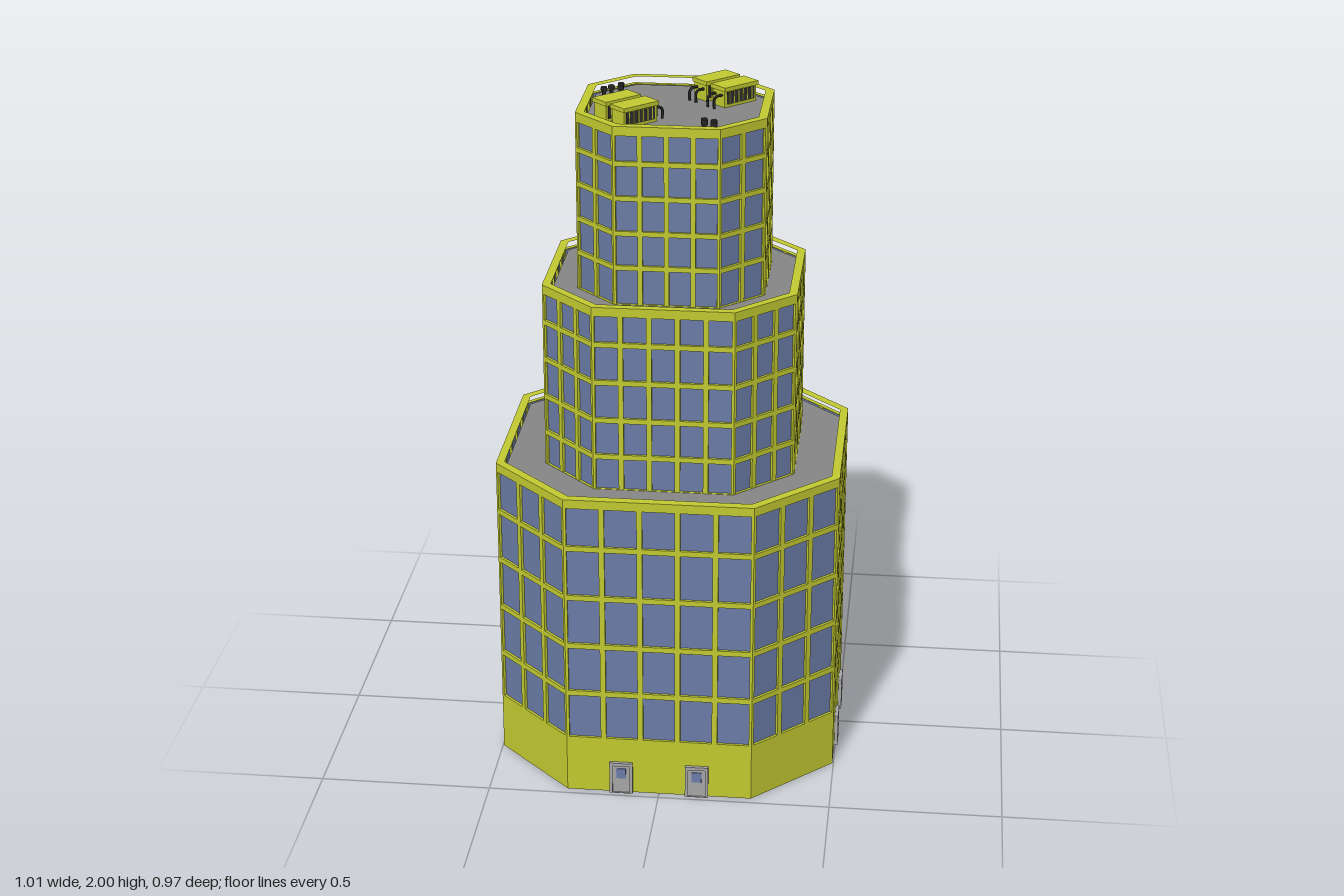
import * as THREE from 'three';

const mat = (color, side = THREE.FrontSide) => new THREE.MeshStandardMaterial({ color, side, flatShading: true });
const yellow = mat(0xc2ca30);
const glass = mat(0x6a7ba6, THREE.DoubleSide);
const deckGrey = mat(0x868686, THREE.DoubleSide);
const doorGrey = mat(0xa6a6a8);
const dark = mat(0x303030);

function add(parent, name, geometry, material, x = 0, y = 0, z = 0) {
  const mesh = new THREE.Mesh(geometry, material);
  mesh.name = name;
  mesh.position.set(x, y, z);
  parent.add(mesh);
  return mesh;
}

// Corners of an octagon with half sizes X, Z and corner cuts starting at cx, cz
const octagon = (X, Z, cx, cz) => [
  [-cx, Z], [cx, Z], [X, cz], [X, -cz], [cx, -Z], [-cx, -Z], [-X, -cz], [-X, cz],
].map(([x, z]) => new THREE.Vector2(x, z));

const rect = (Type, x0, y0, x1, y1) => {
  const p = new Type();
  p.moveTo(x0, y0);
  p.lineTo(x1, y0);
  p.lineTo(x1, y1);
  p.lineTo(x0, y1);
  p.closePath();
  return p;
};

const extrude = (shape, depth) => new THREE.ExtrudeGeometry(shape, { depth, bevelEnabled: false });

// Door with a raised frame, a recessed leaf and a small pane; z = 0 is the wall face
function makeDoor(x) {
  const door = new THREE.Group();
  door.name = 'door';
  const frame = rect(THREE.Shape, -0.034, 0, 0.034, 0.1);
  frame.holes.push(rect(THREE.Path, -0.025, 0.001, 0.025, 0.09));
  add(door, 'doorFrame', extrude(frame, 0.026), doorGrey, 0, 0, -0.016);
  add(door, 'doorLeaf', new THREE.BoxGeometry(0.052, 0.092, 0.02), doorGrey, 0, 0.046, -0.006);
  add(door, 'doorPane', new THREE.BoxGeometry(0.028, 0.032, 0.003), glass, 0, 0.064, 0.005);
  door.position.x = x;
  return door;
}

// One wall: frame pierced by a grid of windows, with glass set back inside it
function makeWall(width, bottom, lines, cols, bar) {
  const wall = new THREE.Group();
  wall.name = 'wall';
  const top = lines[lines.length - 1], h = bar / 2, pitch = width / cols;
  const shape = rect(THREE.Shape, -width / 2, bottom, width / 2, top);
  for (let r = 0; r < lines.length - 1; r++) {
    for (let c = 0; c < cols; c++) {
      const x = -width / 2 + c * pitch;
      const y0 = lines[r] + (r ? h : 0.002), y1 = lines[r + 1] - (r < lines.length - 2 ? h : 0.002);
      shape.holes.push(rect(THREE.Path, x + h, y0, x + pitch - h, y1));
    }
  }
  add(wall, 'windowFrame', extrude(shape, 0.014), yellow, 0, 0, -0.014);
  const height = top - lines[0];
  add(wall, 'glass', new THREE.PlaneGeometry(width - 0.008, height), glass, 0, lines[0] + height / 2, -0.008);
  return wall;
}

// Octagonal tier: eight walls, parapet ring and recessed deck
function makeTier({ name, size, inner, bottom, top, lines, cols, bar, doors }) {
  const tier = new THREE.Group();
  tier.name = name;
  const pts = octagon(...size);
  pts.forEach((a, i) => {
    const b = pts[(i + 1) % 8];
    const wall = makeWall(a.distanceTo(b), bottom, lines, cols[i % 2], bar);
    wall.position.set((a.x + b.x) / 2, 0, (a.y + b.y) / 2);
    wall.rotation.y = Math.atan2(a.y - b.y, b.x - a.x);
    if (doors && i % 2 === 0) for (const x of [-0.111, 0.111]) wall.add(makeDoor(x));
    tier.add(wall);
  });
  const deckY = lines[lines.length - 1];
  const ring = new THREE.Shape(pts);
  ring.holes.push(new THREE.Path(octagon(...inner)));
  add(tier, 'parapet', extrude(ring, top - deckY).rotateX(-Math.PI / 2), yellow, 0, deckY, 0);
  const deck = new THREE.ShapeGeometry(new THREE.Shape(octagon(...inner))).rotateX(-Math.PI / 2);
  add(tier, 'deck', deck, deckGrey, 0, deckY + 0.001, 0);
  return tier;
}

// Roof cooling unit: body, lid, louvred long sides and two bent pipes at one end
function makeUnit() {
  const unit = new THREE.Group();
  unit.name = 'coolingUnit';
  add(unit, 'unitBody', new THREE.BoxGeometry(0.116, 0.05, 0.052), yellow, 0, 0.025, 0);
  add(unit, 'unitLid', new THREE.BoxGeometry(0.123, 0.012, 0.063), yellow, 0, 0.054, 0);
  for (const s of [-1, 1]) {
    add(unit, 'grille', new THREE.BoxGeometry(0.1, 0.036, 0.002), dark, 0, 0.027, s * 0.0265);
    for (let i = 0; i < 6; i++) {
      add(unit, 'grilleBar', new THREE.BoxGeometry(0.003, 0.036, 0.002), yellow, -0.04 + i * 0.016, 0.027, s * 0.028);
    }
    const path = new THREE.CatmullRomCurve3([[-0.055, 0.035], [-0.078, 0.035], [-0.086, 0.027], [-0.086, 0]]
      .map(([x, y]) => new THREE.Vector3(x, y, s * 0.014)));
    add(unit, 'pipe', new THREE.TubeGeometry(path, 10, 0.004, 6), dark);
  }
  return unit;
}

export function createModel() {
  const model = new THREE.Group();
  model.name = 'tower';

  model.add(makeTier({
    name: 'lowerTier', size: [0.497, 0.477, 0.27, 0.252], inner: [0.473, 0.45, 0.26, 0.24],
    bottom: 0, top: 0.94, lines: [0.175, 0.322, 0.476, 0.631, 0.787, 0.915],
    cols: [5, 3], bar: 0.016, doors: true,
  }));
  model.add(makeTier({
    name: 'middleTier', size: [0.362, 0.345, 0.2, 0.185], inner: [0.338, 0.321, 0.19, 0.175],
    bottom: 0.912, top: 1.47, lines: [0.915, 1.017, 1.129, 1.244, 1.358, 1.445],
    cols: [5, 3], bar: 0.015,
  }));
  model.add(makeTier({
    name: 'upperTier', size: [0.267, 0.255, 0.148, 0.137], inner: [0.242, 0.23, 0.138, 0.127],
    bottom: 1.442, top: 1.965, lines: [1.445, 1.555, 1.656, 1.758, 1.858, 1.94],
    cols: [4, 2], bar: 0.014,
  }));

  // Two pairs of cooling units, the second turned half round
  const roof = 1.94;
  for (const turn of [0, Math.PI]) {
    const pair = new THREE.Group();
    pair.name = 'coolingPair';
    for (const [x, z] of [[0.1, -0.141], [0.157, -0.085]]) {
      const unit = makeUnit();
      unit.position.set(x, roof, z);
      unit.rotation.y = Math.PI / 4;
      pair.add(unit);
    }
    pair.rotation.y = turn;
    model.add(pair);
  }

  // Small round roof vents
  const vents = [[-0.218, -0.109], [-0.199, -0.128], [-0.172, -0.125], [-0.174, -0.153],
    [0.095, 0.161], [0.098, 0.188], [0.123, 0.174], [0.125, 0.202]];
  for (const [x, z] of vents) {
    add(model, 'ventStem', new THREE.CylinderGeometry(0.006, 0.006, 0.02, 8), dark, x, roof + 0.01, z);
    add(model, 'ventCap', new THREE.CylinderGeometry(0.009, 0.01, 0.01, 8), dark, x, roof + 0.022, z);
  }
  return model;
}
